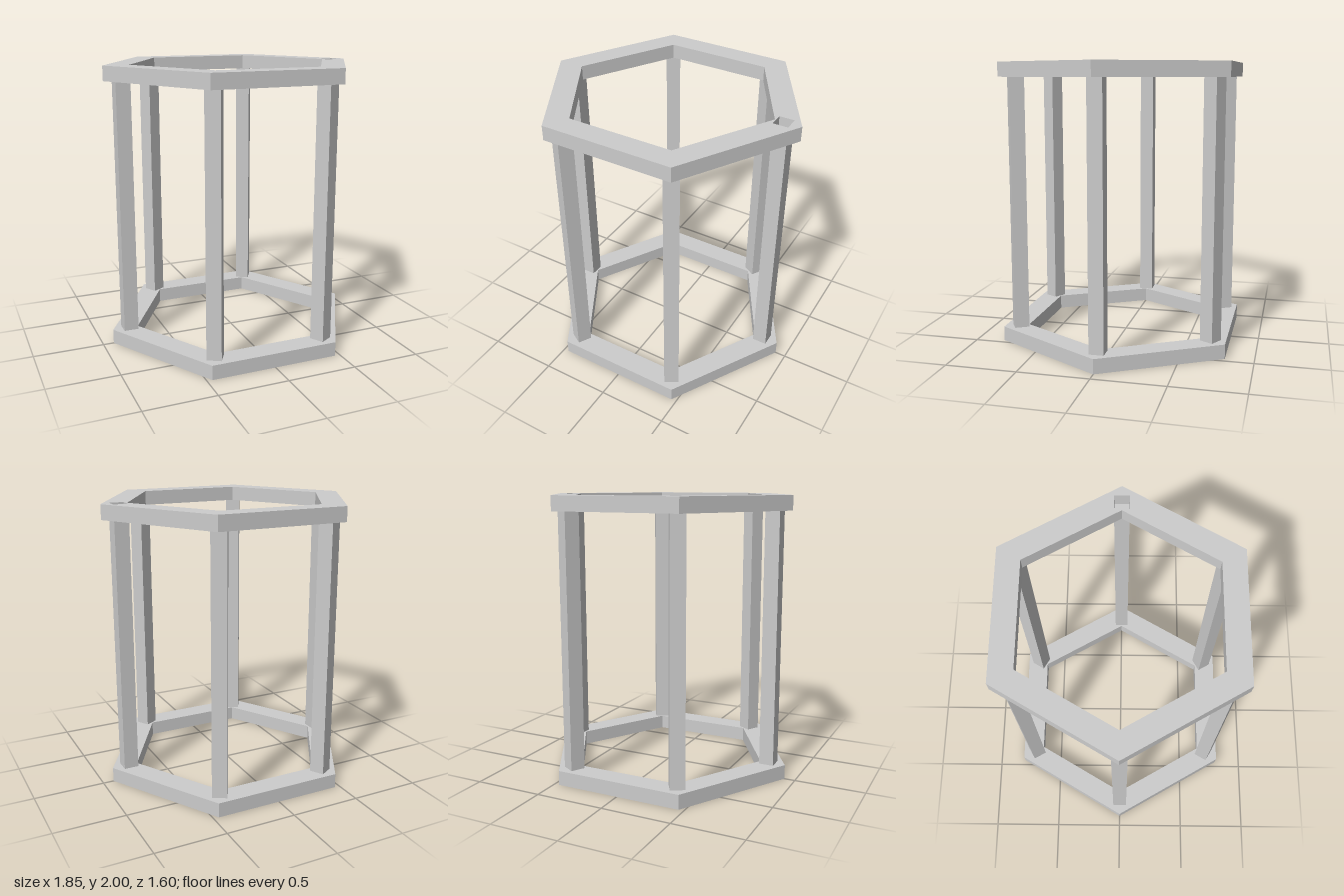
import * as THREE from 'three';

const T = 0.103;        // ring height and post thickness
const OUTER = 0.924;    // ring corner radius, outside
const INNER = 0.74;     // ring corner radius, inside
const POST_R = 0.8;     // distance of posts from the axis
const HEIGHT = 2;

const corners = (r) => Array.from({ length: 6 }, (_, i) =>
  new THREE.Vector2(r * Math.cos(i * Math.PI / 3), r * Math.sin(i * Math.PI / 3)));

// Hexagonal ring with a square socket at its +x corner
function ringGeometry() {
  const h = T / 2;
  const shape = new THREE.Shape(corners(OUTER));
  shape.holes.push(new THREE.Path(corners(INNER)));
  shape.holes.push(new THREE.Path([[-h, -h], [h, -h], [h, h], [-h, h]]
    .map(([x, y]) => new THREE.Vector2(POST_R + x, y))));
  const geo = new THREE.ExtrudeGeometry(shape, { depth: T, bevelEnabled: false });
  return geo.rotateX(-Math.PI / 2);
}

export function createModel() {
  const grey = new THREE.MeshStandardMaterial({ color: 0xcccccc });
  grey.name = 'grey';
  const model = new THREE.Group();
  model.name = 'hexagonalFrame';

  // Bottom and top rings
  const ring = ringGeometry();
  for (const [name, y] of [['bottomRing', 0], ['topRing', HEIGHT - T]]) {
    const mesh = new THREE.Mesh(ring, grey);
    mesh.name = name;
    mesh.position.y = y;
    model.add(mesh);
  }

  // Six square posts, one under each corner, turned to face outward
  const postGeo = new THREE.BoxGeometry(T, HEIGHT - 2 * T, T);
  for (let i = 0; i < 6; i++) {
    const a = i * Math.PI / 3;
    const post = new THREE.Mesh(postGeo, grey);
    post.name = `post${i + 1}`;
    post.position.set(POST_R * Math.cos(a), HEIGHT / 2, POST_R * Math.sin(a));
    post.rotation.y = -a;
    model.add(post);
  }
  return model;
}
